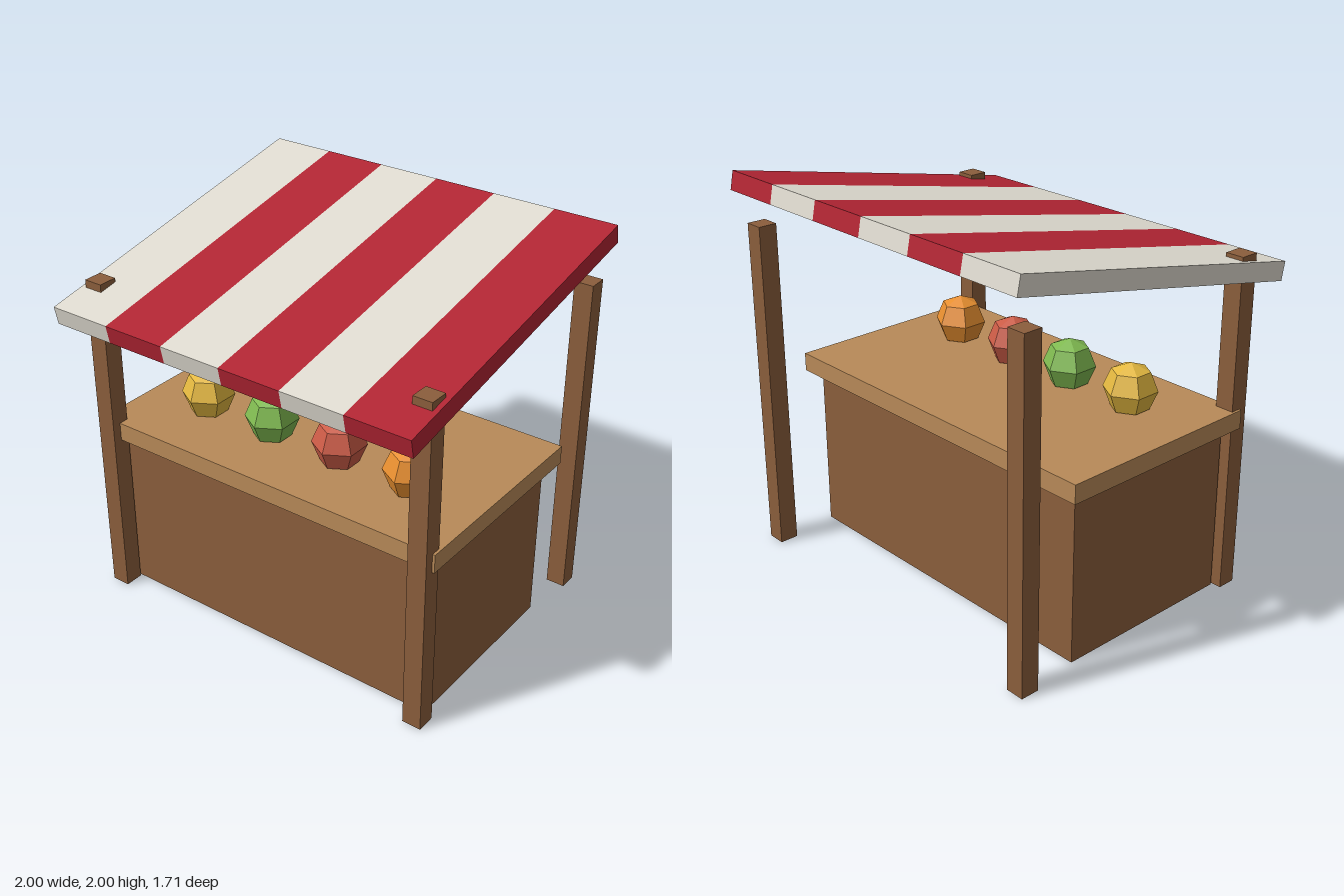
import * as THREE from 'three';

const mat = (name, color) => {
  const m = new THREE.MeshStandardMaterial({ color });
  m.name = name;
  return m;
};

export function createModel() {
  const group = new THREE.Group();
  const wood = mat('dark wood', 0x8b5e3c);
  const topWood = mat('light wood', 0xb88a58);
  const red = mat('awning red', 0xb22533);
  const cream = mat('awning cream', 0xe0dcd1);

  const box = (name, material, size, pos, parent = group) => {
    const mesh = new THREE.Mesh(new THREE.BoxGeometry(...size), material);
    mesh.name = name;
    mesh.position.set(...pos);
    parent.add(mesh);
    return mesh;
  };

  // Counter: solid body with an overhanging top
  box('counterBody', wood, [1.85, 0.87, 0.99], [0, 0.435, 0.062]);
  box('counterTop', topWood, [1.974, 0.096, 1.115], [0, 0.917, 0.062]);

  // Four corner posts; the front pair pokes through the awning
  for (const x of [-0.925, 0.925]) {
    box('frontPost', wood, [0.098, 1.735, 0.098], [x, 0.8675, 0.617]);
    box('backPost', wood, [0.098, 1.735, 0.098], [x, 0.8675, -0.74]);
  }

  // Sloped awning made of six stripes
  const awning = new THREE.Group();
  awning.name = 'awning';
  awning.position.y = 1.7825;
  awning.rotation.x = 0.2;
  group.add(awning);
  const stripe = 2 / 6;
  for (let i = 0; i < 6; i++) {
    box('awningStripe', i % 2 ? red : cream, [stripe, 0.095, 1.721], [-1 + (i + 0.5) * stripe, 0, 0], awning);
  }

  // Row of faceted fruit, sunk slightly into the counter
  const fruits = [['yellow', 0xe4b840], ['green', 0x7fb950], ['coral', 0xcb5b46], ['orange', 0xe88f30]];
  const fruitGeometry = new THREE.SphereGeometry(0.135, 6, 4).rotateY(Math.PI / 2).toNonIndexed();
  fruitGeometry.computeVertexNormals();
  fruits.forEach(([name, color], i) => {
    const material = mat(name + ' fruit', color);
    material.flatShading = true;
    const fruit = new THREE.Mesh(fruitGeometry, material);
    fruit.name = name + 'Fruit';
    fruit.position.set((i - 1.5) * 0.407, 1.065, 0.25);
    group.add(fruit);
  });

  return group;
}
